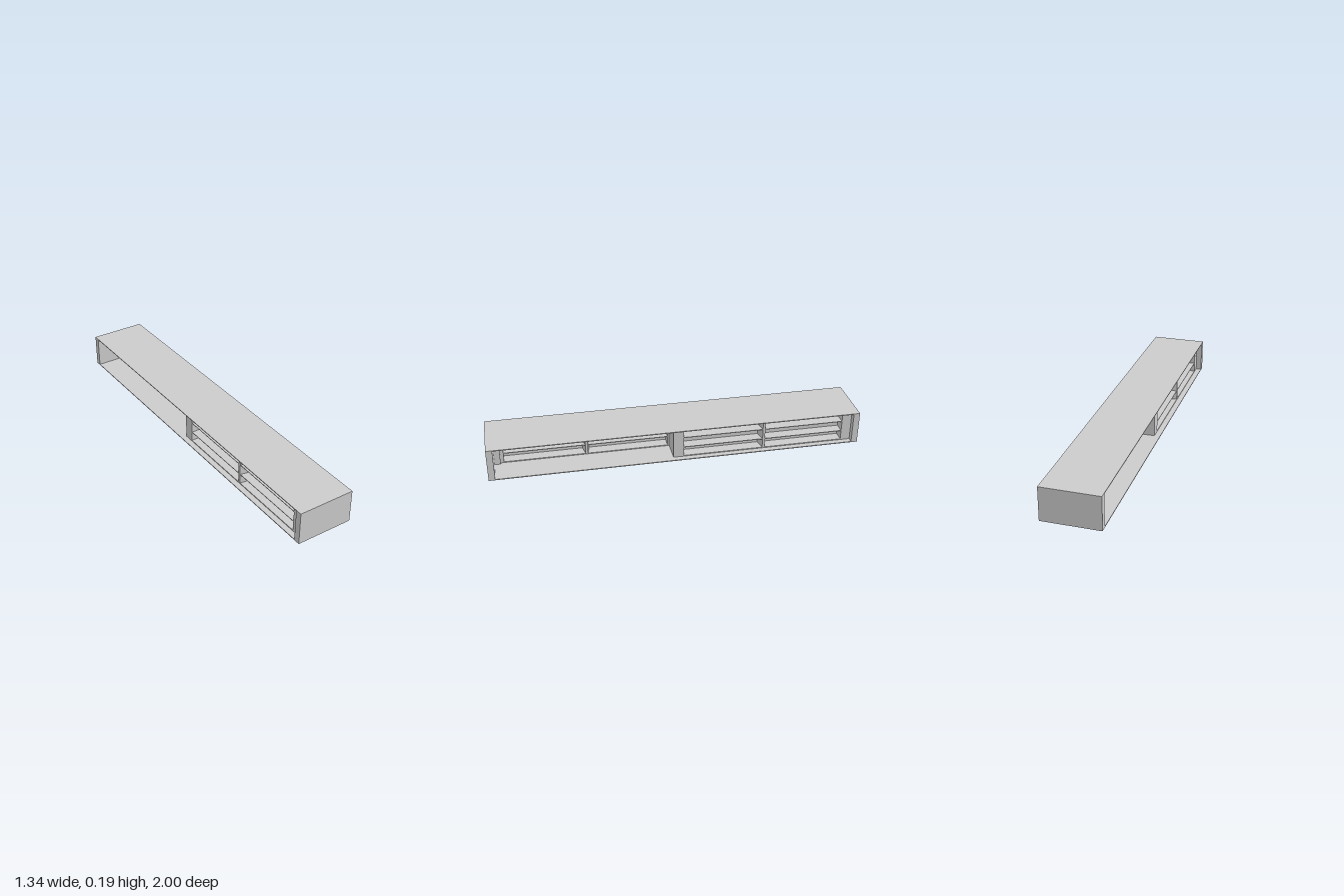
import * as THREE from 'three';

const L = 2.122, W = 0.325, H = 0.19;   // outer length, width, height
const SLAB = 0.005, WALL = 0.036;       // slab and end wall thickness
const DEPTH = 0.13;                     // depth of a back-to-back shelf unit

export function createModel() {
  const model = new THREE.Group();
  const body = new THREE.Group();
  body.name = 'shelvedBlock';
  body.rotation.y = -Math.PI / 3;
  model.add(body);
  const mat = new THREE.MeshStandardMaterial({ color: 0xcccccc, flatShading: true });

  // box given by its limits along each axis
  const box = (parent, name, x0, x1, y0, y1, z0, z1) => {
    const mesh = new THREE.Mesh(new THREE.BoxGeometry(x1 - x0, y1 - y0, z1 - z0), mat);
    mesh.position.set((x0 + x1) / 2, (y0 + y1) / 2, (z0 + z1) / 2);
    mesh.name = name;
    parent.add(mesh);
  };

  // shell: floor, roof and end walls, long sides open
  box(body, 'floor', -L / 2, L / 2, 0, SLAB, -W / 2, W / 2);
  box(body, 'roof', -L / 2, L / 2, H - SLAB, H, -W / 2, W / 2);
  for (const s of [-1, 1]) {
    const x = s * (L / 2 - WALL / 2);
    box(body, 'endWall', x - WALL / 2, x + WALL / 2, SLAB, H - SLAB, -W / 2, W / 2);
  }
  // cross wall in the middle
  box(body, 'crossWall', -0.025, 0.025, SLAB, H - SLAB, -DEPTH, DEPTH);

  // one back-to-back shelf unit per half, each turned half way round
  for (const turn of [0, Math.PI]) {
    const unit = new THREE.Group();
    unit.name = 'shelfUnit';
    unit.rotation.y = turn;
    body.add(unit);
    const y0 = SLAB, y1 = H - SLAB, mid = DEPTH / 2;
    box(unit, 'innerSidePanel', 0.025, 0.035, y0, y1, 0, DEPTH);
    box(unit, 'outerSidePanel', 0.97, 0.99, y0, y1, 0, DEPTH);
    box(unit, 'endPilaster', 0.99, L / 2 - WALL, y0, y1, -0.012, DEPTH);
    box(unit, 'backPanel', 0.035, 0.97, y0, y1, mid - 0.002, mid + 0.002);
    box(unit, 'basePanel', 0.035, 0.97, y0, y0 + 0.005, 0, DEPTH);
    box(unit, 'topPanel', 0.035, 0.97, y1 - 0.005, y1, 0, DEPTH);
    for (const y of [0.064, 0.126]) {
      box(unit, 'shelf', 0.035, 0.97, y - 0.002, y + 0.002, 0.002, DEPTH - 0.002);
    }

    // upright, narrow at both faces and wider at the back panel
    const plan = new THREE.Shape([
      [-0.007, 0], [0.007, 0], [0.02, mid], [0.007, DEPTH], [-0.007, DEPTH], [-0.02, mid],
    ].map(([x, z]) => new THREE.Vector2(x, -z)));
    const geo = new THREE.ExtrudeGeometry(plan, { depth: y1 - y0, bevelEnabled: false });
    geo.rotateX(-Math.PI / 2);
    const upright = new THREE.Mesh(geo, mat);
    upright.name = 'upright';
    upright.position.set(0.503, y0, 0);
    unit.add(upright);
  }
  return model;
}
